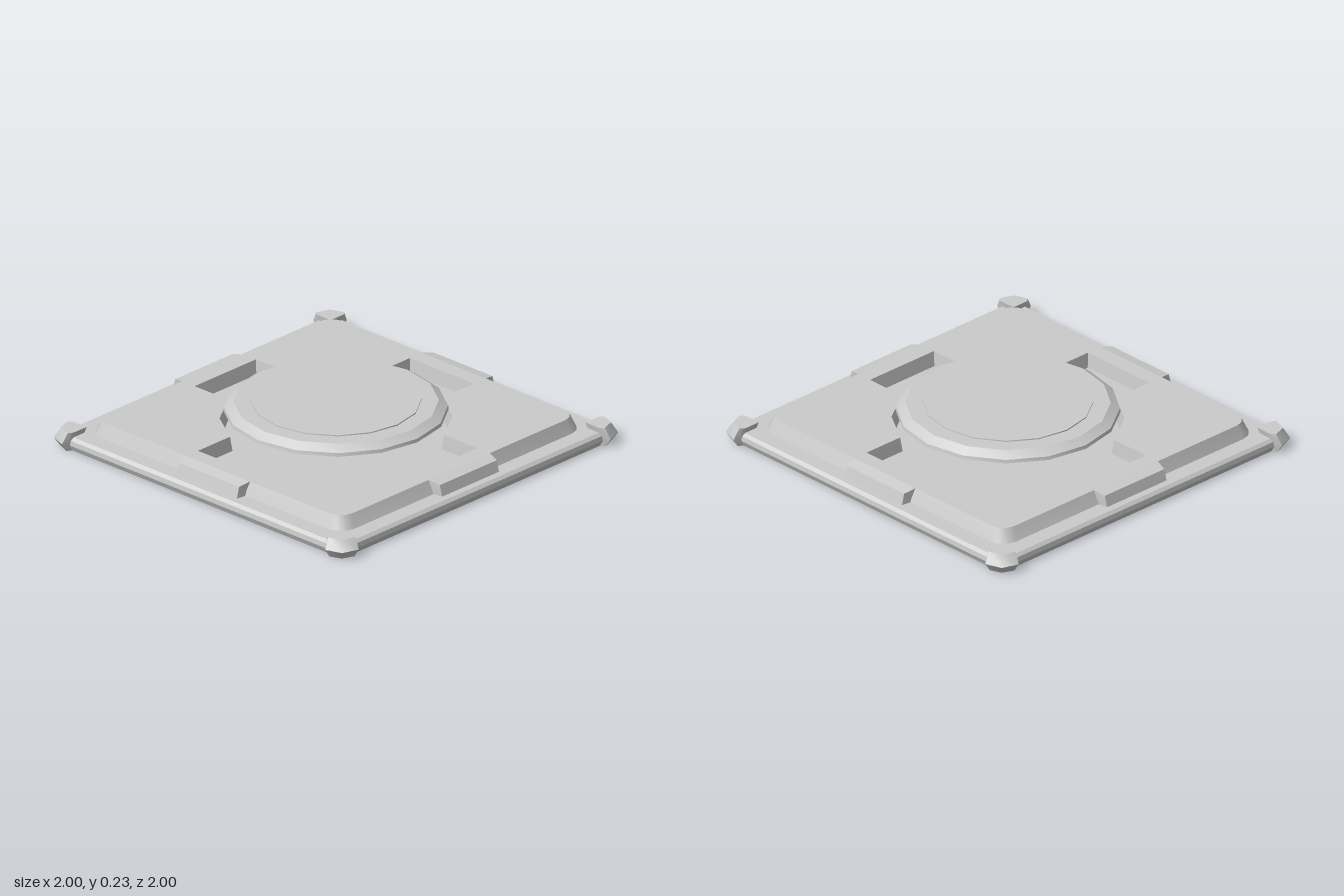
import * as THREE from 'three';
import { toCreasedNormals } from 'three/addons/utils/BufferGeometryUtils.js';

const material = new THREE.MeshStandardMaterial({ color: 0xcccccc });

// Turn [x, z] points a quarter turn at a time and join them into one loop.
function fourfold(points) {
  const loop = [];
  for (let k = 0; k < 4; k++) {
    for (const [x, z] of points) loop.push([[x, z], [-z, x], [-x, -z], [z, -x]][k]);
  }
  return loop;
}

// Square outline of half-width s with corners of radius r.
function roundedSquare(s, r, segments) {
  const corner = [];
  for (let i = 0; i <= segments; i++) {
    const a = (i / segments) * Math.PI / 2;
    corner.push([s - r + r * Math.cos(a), s - r + r * Math.sin(a)]);
  }
  return fourfold(corner);
}

const at = (y, loop) => loop.map(([x, z]) => new THREE.Vector3(x, y, z));

// Walls between successive rings.
function walls(rings, inward = false) {
  const tris = [];
  for (let r = 0; r < rings.length - 1; r++) {
    const a = rings[r], b = rings[r + 1], n = a.length;
    for (let i = 0; i < n; i++) {
      const j = (i + 1) % n;
      const quad = [a[i], b[i], b[j], a[i], b[j], a[j]];
      tris.push(...(inward ? quad.reverse() : quad));
    }
  }
  return tris;
}

// Flat lid over a ring, facing up or down, with an optional hole.
function cap(ring, up, hole = []) {
  const flat = (ps) => ps.map((p) => new THREE.Vector2(p.x, p.z));
  const all = [...ring, ...hole];
  const faces = THREE.ShapeUtils.triangulateShape(flat(ring), hole.length ? [flat(hole)] : []);
  return faces.flatMap(([i, j, k]) => {
    const [a, b, c] = [all[i], all[j], all[k]];
    const facesUp = (b.z - a.z) * (c.x - a.x) - (b.x - a.x) * (c.z - a.z) > 0;
    return facesUp === up ? [a, b, c] : [a, c, b];
  });
}

function mesh(name, tris, crease = 0.55) {
  const geometry = toCreasedNormals(new THREE.BufferGeometry().setFromPoints(tris), crease);
  const m = new THREE.Mesh(geometry, material);
  m.name = name;
  return m;
}

function solid(name, rings, crease) {
  return mesh(name, [...walls(rings), ...cap(rings[0], false), ...cap(rings[rings.length - 1], true)], crease);
}

function lathe(name, profile) {
  const points = profile.map(([r, y]) => new THREE.Vector2(r, y));
  const m = new THREE.Mesh(toCreasedNormals(new THREE.LatheGeometry(points, 16), 0.42), material);
  m.name = name;
  return m;
}

export function createModel() {
  const model = new THREE.Group();

  // Cross-shaped recess outline: four slots joined by a central ring
  const recessTop = at(0.14, fourfold([[0.52, -0.215], [0.745, -0.215], [0.745, 0.215], [0.52, 0.215], [0.4, 0.4]]));
  const recessFloor = at(0.063, fourfold([[0.51, -0.208], [0.735, -0.208], [0.735, 0.208], [0.51, 0.208], [0.388, 0.388]]));

  // Base slab with rounded edges, hollow underneath
  const square = (s, y) => at(y, fourfold([[s, s]]));
  const outer = [square(0.945, 0), square(0.96, 0.03), square(0.957, 0.055), square(0.942, 0.07)];
  const inner = [square(0.93, 0), square(0.93, 0.058)];
  model.add(mesh('baseSlab', [
    ...walls(outer),
    ...cap(outer[0], false, inner[0]),
    ...walls(inner, true),
    ...cap(inner[1], false),
    ...cap(outer[3], true, at(0.07, roundedSquare(0.855, 0.09, 3))),
  ]));

  // Raised deck with sloping sides, open over the recess
  const deck = [at(0.07, roundedSquare(0.855, 0.09, 3)), at(0.14, roundedSquare(0.828, 0.08, 3))];
  model.add(mesh('raisedDeck', [...walls(deck), ...cap(deck[1], true, recessTop)]));

  // Shallow recess
  model.add(mesh('recess', [...walls([recessFloor, recessTop], true), ...cap(recessFloor, true)], 0.2));

  // Edge tabs and corner guards, one per quarter turn
  const tabBase = at(0.07, [[0.215, 0.8], [0.2, 0.905], [-0.2, 0.905], [-0.215, 0.8]]);
  const tabTop = at(0.14, [[0.215, 0.828], [0.2, 0.89], [-0.2, 0.89], [-0.215, 0.828]]);
  tabTop[1].y = tabTop[2].y = 0.127;
  const guard = [
    at(0, [[0.87, 0.87], [0.945, 0.87], [0.97, 0.885], [0.945, 0.945], [0.885, 0.97], [0.87, 0.945]]),
    at(0.045, [[0.87, 0.87], [0.96, 0.87], [1, 0.885], [0.97, 0.97], [0.885, 1], [0.87, 0.96]]),
    at(0.1, [[0.857, 0.857], [0.95, 0.857], [0.97, 0.875], [0.945, 0.945], [0.875, 0.97], [0.857, 0.95]]),
  ];
  for (let k = 0; k < 4; k++) {
    const tab = solid('edgeTab', [tabBase, tabTop], 0.2);
    const corner = solid('cornerGuard', guard, 0.9);
    tab.rotation.y = corner.rotation.y = k * Math.PI / 2;
    model.add(tab, corner);
  }

  // Flared pedestal and the round platform it carries
  model.add(lathe('pedestal', [[0.22, 0.063], [0.355, 0.18]]));
  model.add(lathe('platform', [
    [0, 0.18], [0.548, 0.18], [0.545, 0.198], [0.5, 0.228], [0.415, 0.228], [0.415, 0.234], [0, 0.234],
  ]));

  return model;
}
